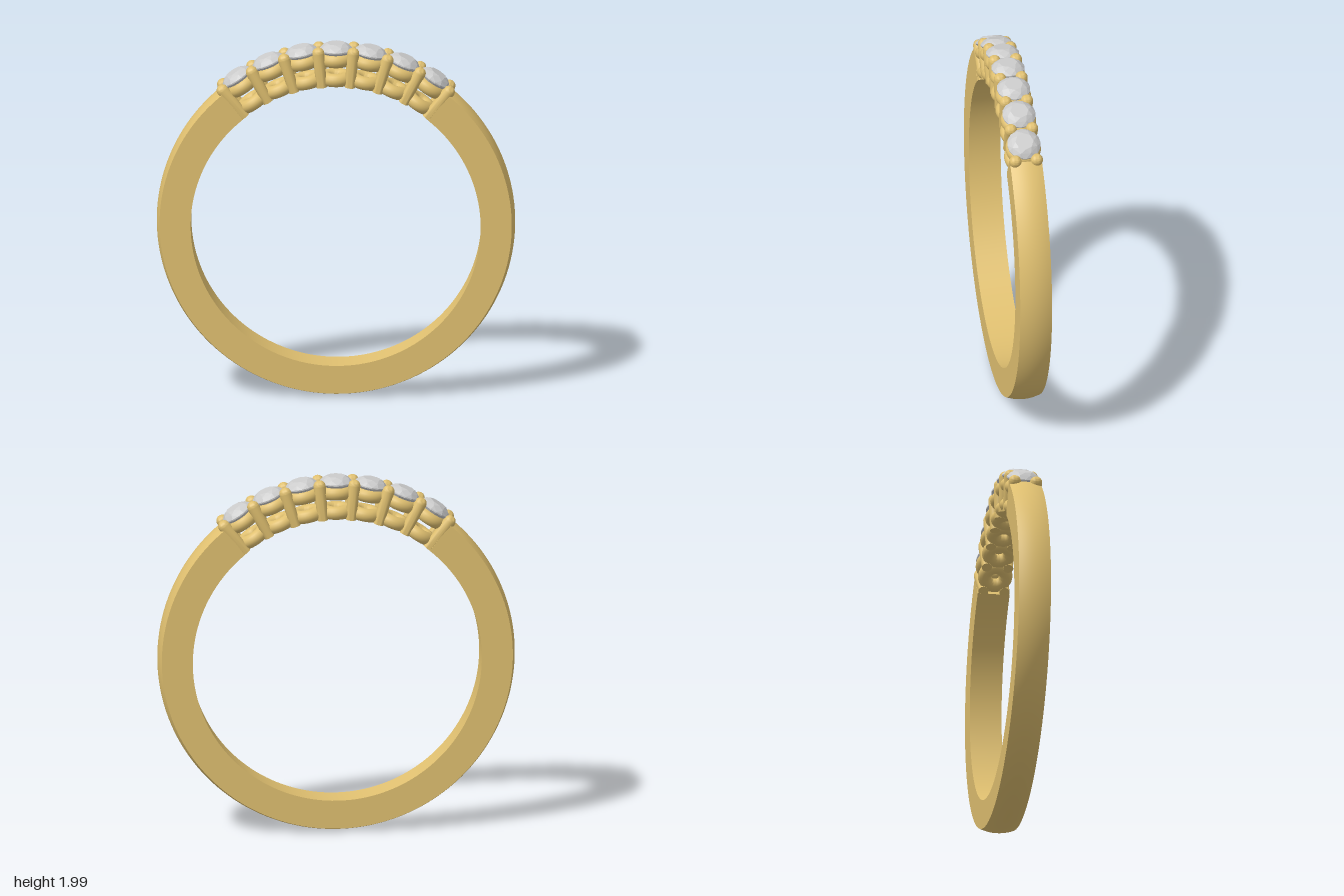
import * as THREE from 'three';
import { mergeGeometries, toCreasedNormals } from 'three/addons/utils/BufferGeometryUtils.js';
import { ConvexGeometry } from 'three/addons/geometries/ConvexGeometry.js';

const CENTRE_Y = 0.972, INNER = 0.793, OUTER = 0.98, HALF_WIDTH = 0.088;
const STEP = THREE.MathUtils.degToRad(11.1); // angle between neighbouring stones
const GAP = THREE.MathUtils.degToRad(39.8); // half the opening in the band

const gold = new THREE.MeshStandardMaterial({ color: 0xe0c070, side: THREE.DoubleSide });
const grey = new THREE.MeshStandardMaterial({ color: 0xcccccc, flatShading: true });

// Open band with a domed outside, flat sides and closed ends
function bandGeometry() {
  const profile = [];
  for (let i = 0; i <= 10; i++) {
    const t = i / 5 - 1;
    profile.push(new THREE.Vector2(OUTER - 0.017 * t * t, t * HALF_WIDTH));
  }
  profile.push(new THREE.Vector2(INNER, HALF_WIDTH), new THREE.Vector2(INNER, -HALF_WIDTH));
  const sweep = new THREE.LatheGeometry([...profile, profile[0].clone()], 120, GAP, 2 * Math.PI - 2 * GAP);
  sweep.rotateX(-Math.PI / 2);
  const caps = [GAP, -GAP].map(a =>
    new THREE.ShapeGeometry(new THREE.Shape(profile)).rotateX(-Math.PI / 2).rotateZ(Math.PI / 2 - a));
  const geo = mergeGeometries([sweep, ...caps]);
  // The outside sits slightly higher than the inside, thinning the base
  const p = geo.attributes.position;
  for (let i = 0; i < p.count; i++) {
    if (Math.hypot(p.getX(i), p.getY(i)) > 0.9) p.setY(i, p.getY(i) + 0.012);
  }
  return toCreasedNormals(geo, 0.6);
}

// Round-cut stone: table, crown, girdle, pavilion and culet
function stoneGeometry() {
  const points = [];
  const ring = (n, r, y, turn = 0) => {
    for (let i = 0; i < n; i++) {
      const a = (i + turn) / n * Math.PI * 2;
      points.push(new THREE.Vector3(r * Math.sin(a), y, r * Math.cos(a)));
    }
  };
  ring(8, 0.05, 0.037);
  ring(8, 0.074, 0.024, 0.5);
  ring(16, 0.092, 0.004);
  ring(16, 0.092, -0.003);
  ring(8, 0.045, -0.046, 0.5);
  ring(1, 0, -0.082);
  return new ConvexGeometry(points);
}

// Horizontal ring under a stone; its underside follows the finger hole
function seatGeometry(height, radius, tube) {
  const geo = new THREE.TorusGeometry(radius, tube, 16, 36).rotateX(Math.PI / 2).translate(0, height, 0);
  const p = geo.attributes.position;
  for (let i = 0; i < p.count; i++) {
    const r = Math.hypot(p.getX(i), p.getY(i));
    if (r < INNER) p.setXY(i, p.getX(i) * INNER / r, p.getY(i) * INNER / r);
  }
  return toCreasedNormals(geo, 0.7);
}

// Tapered post with a round tip
function prongGeometry() {
  const points = [new THREE.Vector2(0, INNER), new THREE.Vector2(0.028, INNER)];
  for (let i = 0; i <= 8; i++) {
    const a = i / 8 * Math.PI / 2;
    points.push(new THREE.Vector2(0.034 * Math.cos(a), 0.985 + 0.034 * Math.sin(a)));
  }
  return toCreasedNormals(new THREE.LatheGeometry(points, 18), 0.7);
}

export function createModel() {
  const model = new THREE.Group();
  model.name = 'stoneSetRing';
  const ring = new THREE.Group();
  ring.name = 'ring';
  ring.position.y = CENTRE_Y;
  model.add(ring);

  const add = (parent, name, geo, mat) => {
    const mesh = new THREE.Mesh(geo, mat);
    mesh.name = name;
    parent.add(mesh);
    return mesh;
  };
  // Group whose local y points outward at an angle from the top
  const spoke = (name, angle) => {
    const g = new THREE.Group();
    g.name = name;
    g.rotation.z = -angle;
    ring.add(g);
    return g;
  };

  add(ring, 'band', bandGeometry(), gold);

  // Seven stones, each on two stacked seats
  const stone = stoneGeometry();
  const upperSeat = seatGeometry(0.937, 0.06, 0.038);
  const lowerSeat = seatGeometry(0.827, 0.058, 0.037);
  for (let i = -3; i <= 3; i++) {
    const setting = spoke('setting', i * STEP);
    add(setting, 'stone', stone, grey).position.y = 0.988;
    add(setting, 'upperSeat', upperSeat, gold);
    add(setting, 'lowerSeat', lowerSeat, gold);
  }

  // Pairs of prongs between the stones and at both ends
  const prong = prongGeometry();
  for (let i = -3.5; i <= 3.5; i++) {
    const pair = spoke('prongPair', i * STEP);
    for (const side of [-1, 1]) add(pair, 'prong', prong, gold).position.z = side * 0.059;
  }
  return model;
}
